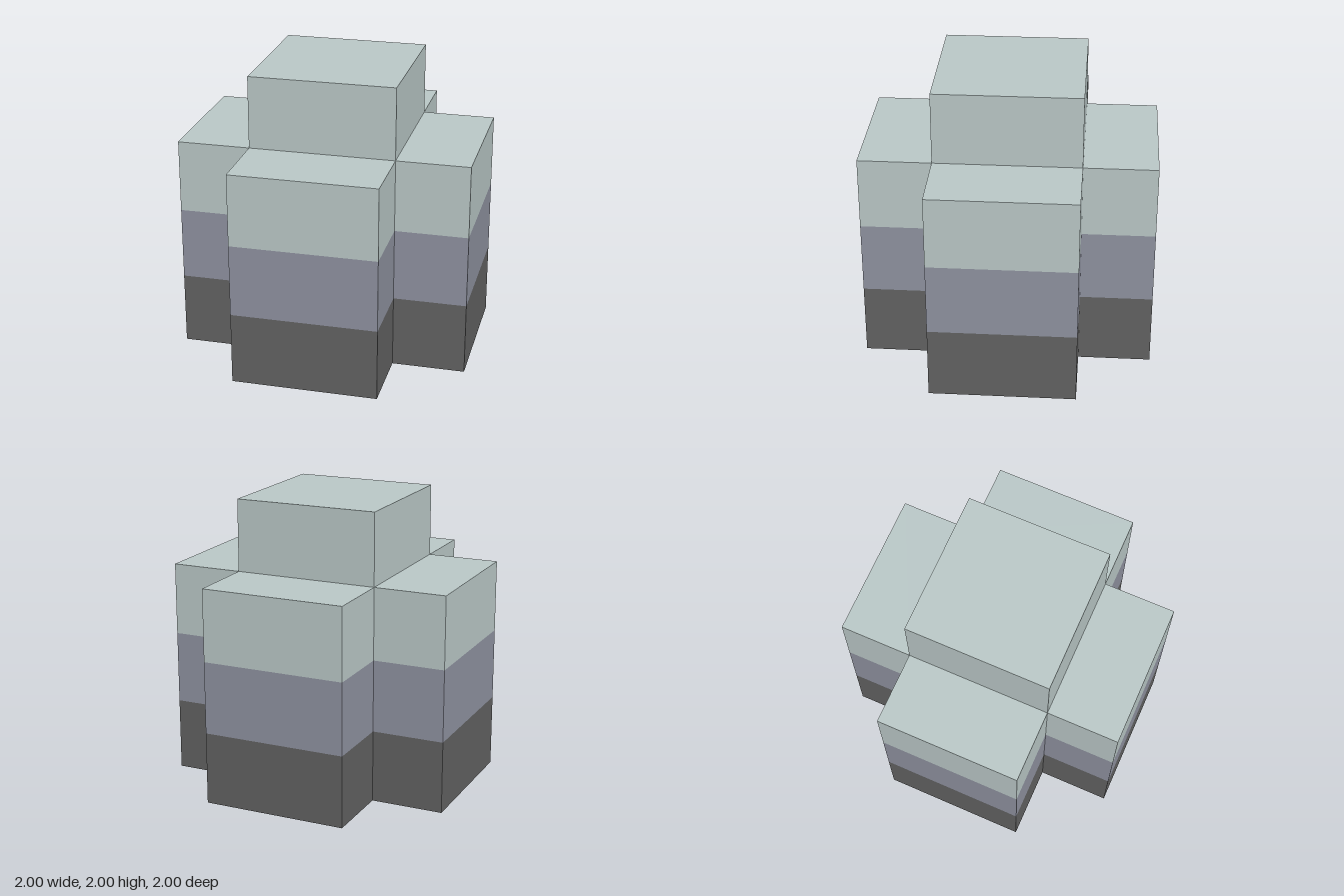
import * as THREE from 'three';
import { mergeGeometries } from 'three/addons/utils/BufferGeometryUtils.js';

const material = (name, color) => {
  const m = new THREE.MeshStandardMaterial({ color });
  m.name = name;
  return m;
};

// Upright walls along a closed [x, z] outline that starts along the front towards +x
function walls(outline, y0, height) {
  return mergeGeometries(outline.map(([ax, az], i) => {
    const [bx, bz] = outline[(i + 1) % outline.length];
    return new THREE.PlaneGeometry(Math.hypot(bx - ax, bz - az), height)
      .rotateY(Math.atan2(az - bz, bx - ax))
      .translate((ax + bx) / 2, y0 + height / 2, (az + bz) / 2);
  }));
}

export function createModel() {
  const group = new THREE.Group();
  const dark = material('charcoal', 0x626262);
  const mid = material('slate', 0x8f92a0);
  const pale = material('pale grey green', 0xbac8c7);

  const add = (name, geometry, mat) => {
    const mesh = new THREE.Mesh(geometry, mat);
    mesh.name = name;
    group.add(mesh);
  };

  const h = 0.5;
  const square = [[-h, h], [h, h], [h, -h], [-h, -h]];
  const cross = [
    [-h, 1], [h, 1], [h, h], [1, h], [1, -h], [h, -h],
    [h, -1], [-h, -1], [-h, -h], [-1, -h], [-1, h], [-h, h],
  ];

  // Three stacked bands of the cross-shaped body
  add('lowerBand', walls(cross, 0, h), dark);
  add('middleBand', walls(cross, h, h), mid);
  add('upperBand', walls(cross, 2 * h, h), pale);

  // Underside
  const floor = new THREE.Shape(cross.map(([x, z]) => new THREE.Vector2(x, z)));
  add('underside', new THREE.ShapeGeometry(floor).rotateX(Math.PI / 2), dark);

  // Ledges on top of the four arms
  const ledges = [0, 1, 2, 3].map((i) => new THREE.PlaneGeometry(1, h)
    .rotateX(-Math.PI / 2).translate(0, 1.5, 0.75).rotateY(i * Math.PI / 2));
  add('armLedges', mergeGeometries(ledges), pale);

  // Central block rising above the arms
  const lid = new THREE.PlaneGeometry(1, 1).rotateX(-Math.PI / 2).translate(0, 2, 0);
  add('topBlock', mergeGeometries([walls(square, 1.5, h), lid]), pale);

  return group;
}
